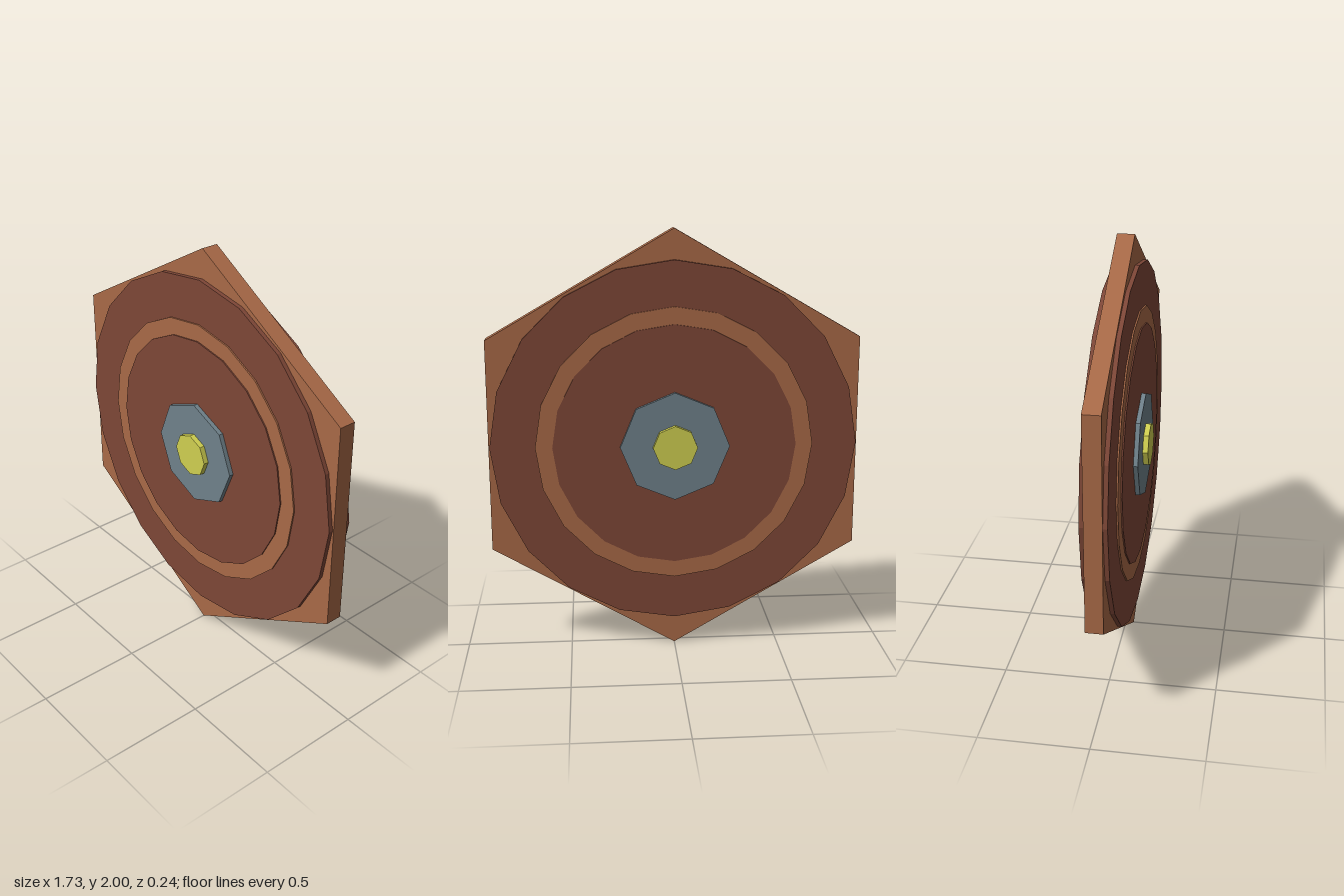
import * as THREE from 'three';

function material(name, color) {
  const m = new THREE.MeshStandardMaterial({ color });
  m.name = name;
  return m;
}

export function createModel() {
  const copper = material('copper', 0xa86947);
  const darkCopper = material('dark copper', 0x7e4737);
  const steel = material('steel', 0x6f818a);
  const yellow = material('yellow', 0xcfcf50);

  // Stacked prisms along z, symmetric front to back: radius, half depth, sides
  const layers = [
    ['hexagonPlate', 1.0, 0.04, 6, copper],
    ['outerDisc', 0.86, 0.06, 20, darkCopper],
    ['raisedRing', 0.65, 0.067, 20, copper],
    ['innerDisc', 0.57, 0.073, 20, darkCopper],
    ['hub', 0.256, 0.094, 8, steel],
    ['centreStud', 0.104, 0.119, 8, yellow],
  ];

  const model = new THREE.Group();
  model.name = 'hexagonalShield';
  for (const [name, radius, halfDepth, sides, mat] of layers) {
    // Faceted prism with one corner pointing straight up
    const geometry = new THREE.CylinderGeometry(radius, radius, halfDepth * 2, sides)
      .rotateX(Math.PI / 2)
      .toNonIndexed();
    geometry.computeVertexNormals();
    const mesh = new THREE.Mesh(geometry, mat);
    mesh.name = name;
    mesh.position.y = 1;
    model.add(mesh);
  }
  return model;
}
